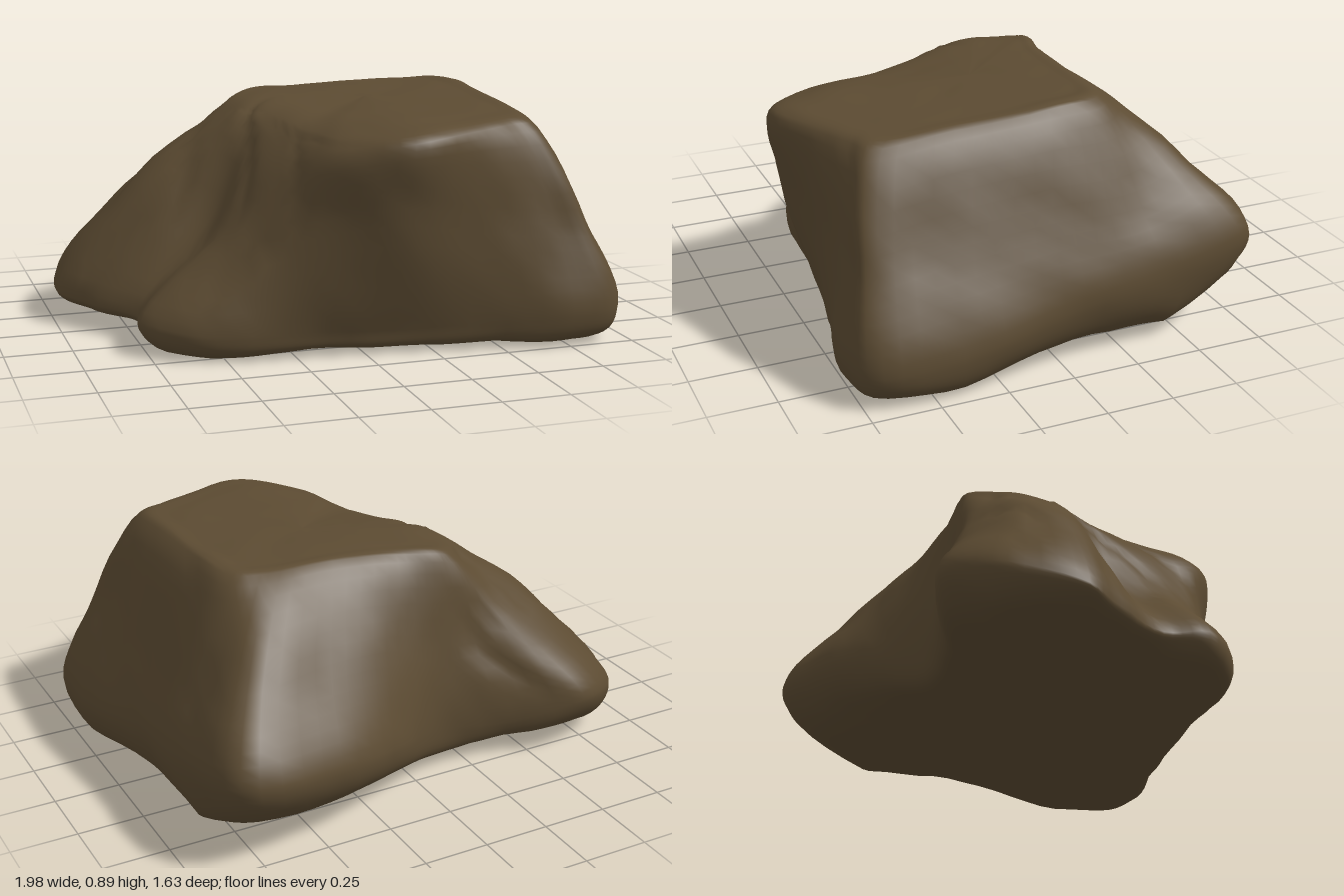
import * as THREE from 'three';

const AROUND = 100, UP = 56;

// Outlines of the boulder, counter-clockwise from the front right corner: [x, y, z]
const foot = [
  [.95, .13, .73], [.99, .16, .4], [.95, .22, 0], [.93, .27, -.4], [.85, .34, -.79],
  [.45, .31, -.76], [.12, .24, -.62], [-.12, .18, -.49], [-.4, .15, -.52], [-.68, .22, -.61],
  [-.92, .18, -.45], [-.99, .12, -.18], [-.88, .1, -.03], [-.75, .1, .19], [-.76, .12, .36],
  [-.58, .1, .54], [-.28, .1, .6], [.1, .09, .64], [.45, .11, .71], [.75, .14, .78]];
const waist = [
  [.83, .45, .69], [.85, .5, .38], [.83, .52, 0], [.83, .52, -.35], [.74, .59, -.61],
  [.38, .6, -.55], [.08, .55, -.48], [-.12, .5, -.45], [-.32, .48, -.46], [-.52, .44, -.48],
  [-.67, .5, -.33], [-.68, .5, -.15], [-.59, .47, 0], [-.47, .41, .13], [-.48, .4, .3],
  [-.37, .42, .49], [-.18, .5, .63], [.1, .56, .77], [.38, .5, .72], [.7, .45, .7]];
const rim = [
  [.64, .82, .6], [.66, .85, .3], [.66, .87, -.05], [.62, .87, -.26], [.5, .87, -.3],
  [.25, .87, -.3], [0, .85, -.32], [-.15, .84, -.36], [-.23, .82, -.35], [-.28, .81, -.28],
  [-.3, .81, -.2], [-.3, .8, -.1], [-.28, .79, 0], [-.25, .77, .1], [-.24, .74, .22],
  [-.22, .69, .42], [-.12, .74, .64], [.12, .79, .79], [.38, .81, .71], [.55, .82, .64]];

const { smoothstep } = THREE.MathUtils;
const ring = pts => new THREE.CatmullRomCurve3(pts.map(p => new THREE.Vector3(...p)), true, 'centripetal');

// Underside: lowest towards the front, rising under the back
const ground = z => .045 - .03 * smoothstep(z, .15, .5) + .42 * Math.max(0, -z - .45);

// Layered waves for the lumpy surface
function lumps(p) {
  let sum = 0;
  for (let k = 0, f = 6, a = 1; k < 3; k++, f *= 2, a *= .5) {
    sum += a * Math.sin(f * p.x + 1.7 * k + 2 * Math.sin(f * .6 * p.z))
             * Math.sin(f * p.y * 1.1 + 2.3 * k + 1.5 * Math.sin(f * .5 * p.x))
             + a * .5 * Math.sin(f * 1.2 * p.z + 3 * p.y + k);
  }
  return sum;
}

// Narrow fissures running up the broken left slope
function fissures(p) {
  const slope = smoothstep(-p.x, .1, .3) * smoothstep(p.y, .15, .3);
  const wave = Math.sin(9 * p.z + 4 * p.x + 1.2 * Math.sin(9 * p.y));
  return slope * Math.pow(1 - Math.abs(wave), 4);
}

function boulderGeometry() {
  const curves = [foot, waist, rim].map(ring);
  const pos = [], index = [];
  const low = new THREE.Vector3(0, .045, 0), high = new THREE.Vector3(.2, .862, .05);
  for (let i = 0; i < AROUND; i++) {
    const [f, w, r] = curves.map(c => c.getPoint(i / AROUND));
    const edge = .92 + .04 * smoothstep(f.z, 0, .5);
    // One rib: underside, foot, waist, rim, crown
    const rib = new THREE.CatmullRomCurve3([
      low,
      new THREE.Vector3(f.x * .55, ground(f.z * .55), f.z * .55),
      new THREE.Vector3(f.x * edge, ground(f.z * edge) + .01, f.z * edge),
      f, w, r,
      r.clone().lerp(high, .2).setY(r.y * .45 + .48),
      r.clone().lerp(high, .6).setY(r.y * .15 + .735),
      high], false, 'centripetal');
    for (let j = 1; j < UP; j++) pos.push(...rib.getPoint(j / UP));
  }
  const row = UP - 1, bottom = AROUND * row, top = bottom + 1;
  pos.push(...low, ...high);
  for (let i = 0; i < AROUND; i++) {
    const a = i * row, b = ((i + 1) % AROUND) * row;
    index.push(bottom, b, a, a + row - 1, b + row - 1, top);
    for (let j = 0; j < row - 1; j++) index.push(a + j, b + j, a + j + 1, b + j, b + j + 1, a + j + 1);
  }
  const geo = new THREE.BufferGeometry();
  geo.setAttribute('position', new THREE.Float32BufferAttribute(pos, 3));
  geo.setIndex(index);
  geo.computeVertexNormals();

  // Roughen along the normals
  const P = geo.attributes.position, N = geo.attributes.normal;
  const p = new THREE.Vector3(), n = new THREE.Vector3();
  for (let i = 0; i < P.count; i++) {
    p.fromBufferAttribute(P, i);
    n.fromBufferAttribute(N, i);
    const amount = n.y > .8 ? .004 : .008;
    p.addScaledVector(n, amount * lumps(p) - .018 * fissures(p));
    P.setXYZ(i, p.x, p.y, p.z);
  }

  // Stand on the ground, centred
  geo.computeBoundingBox();
  const c = geo.boundingBox.getCenter(new THREE.Vector3());
  geo.translate(-c.x, -geo.boundingBox.min.y, -c.z);
  geo.computeVertexNormals();
  return geo;
}

export function createModel() {
  const group = new THREE.Group();
  group.name = 'rock';
  const stone = new THREE.MeshStandardMaterial({ color: 0x5c4b32 });
  stone.name = 'brown stone';
  const boulder = new THREE.Mesh(boulderGeometry(), stone);
  boulder.name = 'boulder';
  group.add(boulder);
  return group;
}
